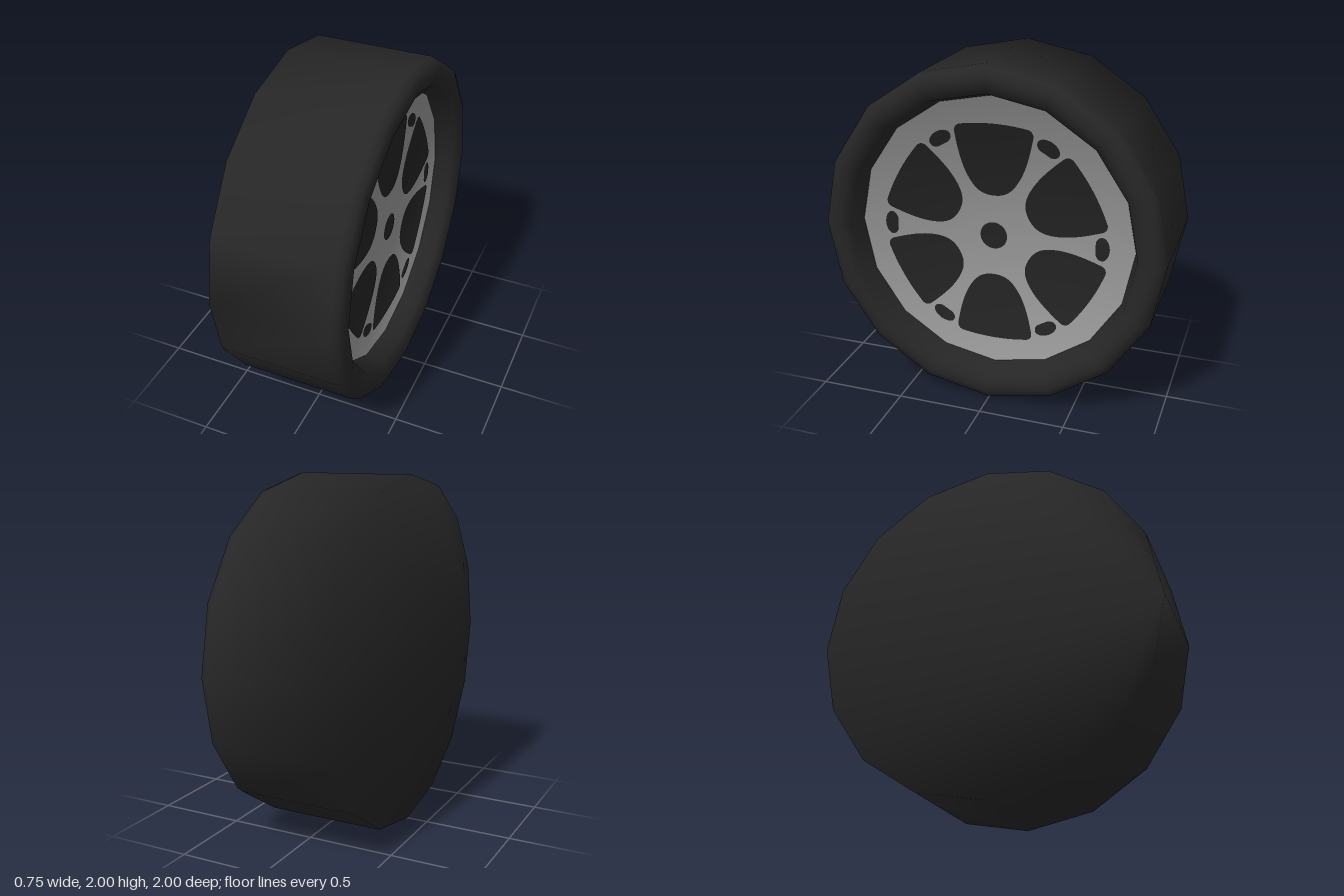
import * as THREE from 'three';
import { mergeVertices } from 'three/addons/utils/BufferGeometryUtils.js';

const SIDES = 16;
const FACE_X = 0.23;

// Lathe profile of [radius, x], turned about the x axis
function turned(profile) {
  return new THREE.LatheGeometry(profile.map(([r, x]) => new THREE.Vector2(r, x)), SIDES);
}

// Soft concave normals shared by the wheel face and its cut-outs
function dishNormals(geo) {
  const p = geo.attributes.position;
  const n = geo.attributes.normal;
  const v = new THREE.Vector3();
  for (let i = 0; i < p.count; i++) {
    v.set(1, -0.55 * p.getY(i), -0.55 * p.getZ(i)).normalize();
    n.setXYZ(i, v.x, v.y, v.z);
  }
  return geo;
}

// Flat plate facing +x, rotated around the axle
function plate(shape, angle) {
  const geo = new THREE.ShapeGeometry(shape, 10);
  geo.rotateZ(angle);
  geo.rotateY(Math.PI / 2);
  geo.translate(FACE_X + 0.004, 0, 0);
  return dishNormals(geo);
}

// Rounded triangular opening between two spokes
function windowShape() {
  const s = new THREE.Shape();
  s.moveTo(0, 0.24);
  s.bezierCurveTo(0.07, 0.24, 0.11, 0.27, 0.15, 0.34);
  s.bezierCurveTo(0.19, 0.41, 0.21, 0.5, 0.225, 0.58);
  s.quadraticCurveTo(0.235, 0.62, 0.2, 0.635);
  s.quadraticCurveTo(0, 0.67, -0.2, 0.635);
  s.quadraticCurveTo(-0.235, 0.62, -0.225, 0.58);
  s.bezierCurveTo(-0.21, 0.5, -0.19, 0.41, -0.15, 0.34);
  s.bezierCurveTo(-0.11, 0.27, -0.07, 0.24, 0, 0.24);
  return s;
}

// Small slot at the outer end of a spoke
function slotShape() {
  const s = new THREE.Shape();
  s.moveTo(-0.035, 0.588);
  s.lineTo(0.035, 0.588);
  s.quadraticCurveTo(0.075, 0.6, 0.068, 0.635);
  s.quadraticCurveTo(0.05, 0.665, 0, 0.667);
  s.quadraticCurveTo(-0.05, 0.665, -0.068, 0.635);
  s.quadraticCurveTo(-0.075, 0.6, -0.035, 0.588);
  return s;
}

export function createModel() {
  const rubber = new THREE.MeshStandardMaterial({ name: 'black rubber', color: 0x262626 });
  const metal = new THREE.MeshStandardMaterial({ name: 'grey metal', color: 0x949494 });
  const opening = new THREE.MeshStandardMaterial({ name: 'dark opening', color: 0x222222 });

  const model = new THREE.Group();
  model.name = 'wheel';
  const add = (name, geo, mat) => {
    const mesh = new THREE.Mesh(geo, mat);
    mesh.name = name;
    mesh.position.y = 1;
    model.add(mesh);
  };

  // Tyre: tread, rounded shoulder, recessed inner lip and closed back
  const profile = [[1, -0.375], [1, 0.31], [0.985, 0.352], [0.94, 0.372],
    [0.89, 0.368], [0.84, 0.335], [0.81, FACE_X]];
  let tyre = turned(profile);
  const index = Array.from(tyre.index.array);
  for (let i = 1; i < SIDES - 1; i++) {
    index.push(0, (i + 1) * profile.length, i * profile.length);
  }
  tyre.setIndex(index);
  tyre.deleteAttribute('uv');
  tyre.deleteAttribute('normal');
  tyre = mergeVertices(tyre, 1e-4);
  tyre.computeVertexNormals();
  tyre.rotateZ(-Math.PI / 2);
  add('tyre', tyre, rubber);

  // Wheel face
  const face = turned([0.81, 0.6, 0.4, 0.2, 0].map((r) => [r, FACE_X]));
  face.rotateZ(-Math.PI / 2);
  add('wheelFace', dishNormals(face), metal);

  // Six openings, six slots and the hub hole
  for (let k = 0; k < 6; k++) {
    const angle = (k * Math.PI) / 3;
    add('spokeOpening', plate(windowShape(), angle), opening);
    add('spokeSlot', plate(slotShape(), angle + Math.PI / 6), opening);
  }
  add('hubHole', plate(new THREE.Shape().absarc(0, 0, 0.08, 0, Math.PI * 2), 0), opening);

  return model;
}
